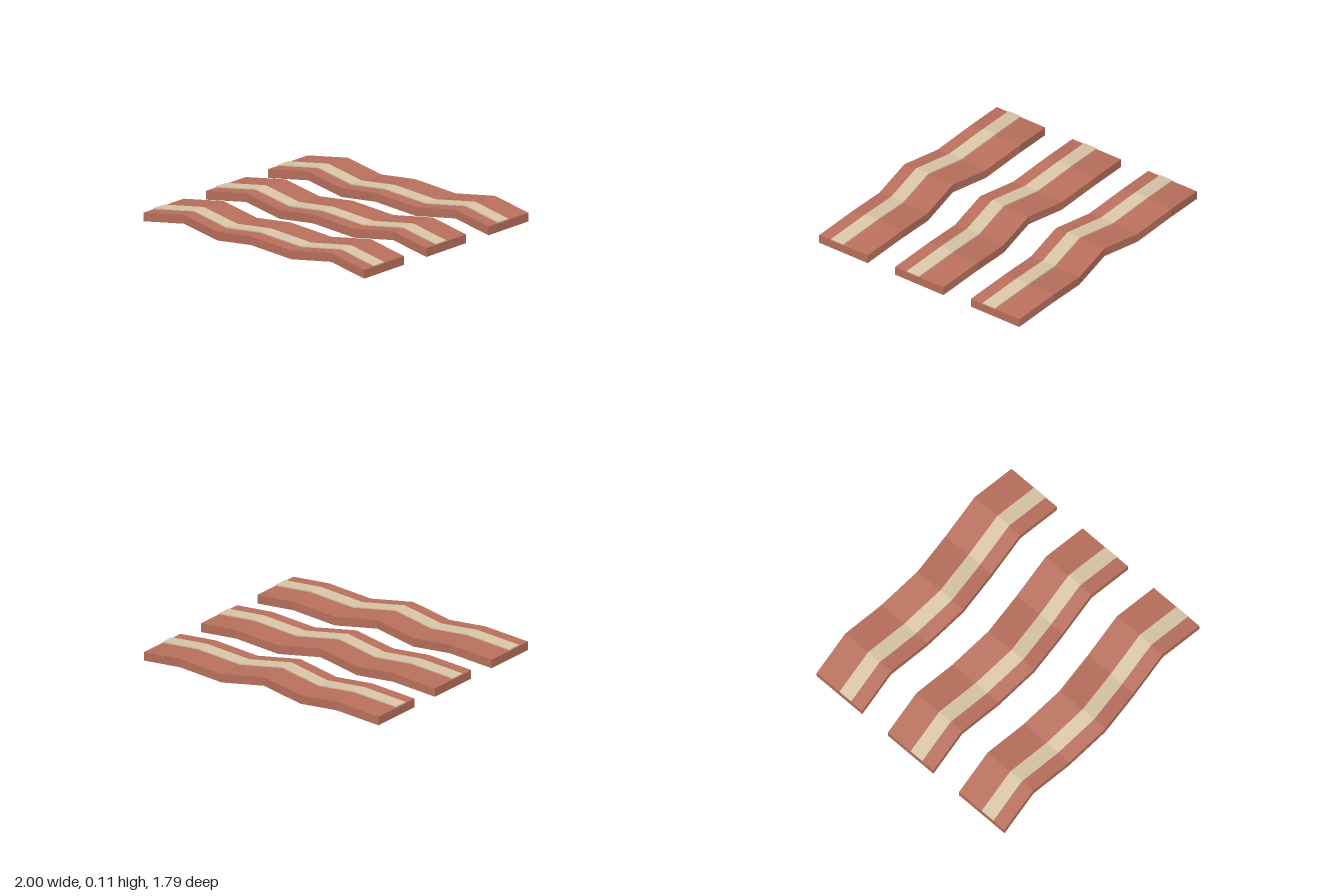
import * as THREE from 'three';

const SEGMENTS = 6;
const LENGTH = 2;

// Box bent into a wave: ridges in y alternate, edges sway in z along the length.
function wavyBar(name, width, height, y, z, color) {
  const geometry = new THREE.BoxGeometry(LENGTH, height, width, SEGMENTS, 1, 1);
  const pos = geometry.attributes.position;
  for (let i = 0; i < pos.count; i++) {
    const station = Math.round((pos.getX(i) / LENGTH + 0.5) * SEGMENTS);
    const lift = station % 2 ? 0.043 : 0;
    const sway = -0.0345 * Math.sin(station * 1.6);
    pos.setY(i, pos.getY(i) + height / 2 + y + lift);
    pos.setZ(i, pos.getZ(i) + z + sway);
  }
  geometry.computeVertexNormals();
  const material = new THREE.MeshStandardMaterial({ color, flatShading: true });
  const mesh = new THREE.Mesh(geometry, material);
  mesh.name = name;
  return mesh;
}

export function createModel() {
  const model = new THREE.Group();
  model.name = 'baconStrips';

  // Three identical strips side by side
  ['backStrip', 'middleStrip', 'frontStrip'].forEach((name, i) => {
    const strip = new THREE.Group();
    strip.name = name;
    strip.position.z = (i - 1) * 0.653;
    strip.add(wavyBar('meat', 0.418, 0.063, 0, 0, 0xb9705c));
    // Fat streak lying on top, off centre towards the front
    strip.add(wavyBar('fatStreak', 0.107, 0.009, 0.062, 0.054, 0xd9c5a8));
    model.add(strip);
  });

  return model;
}
